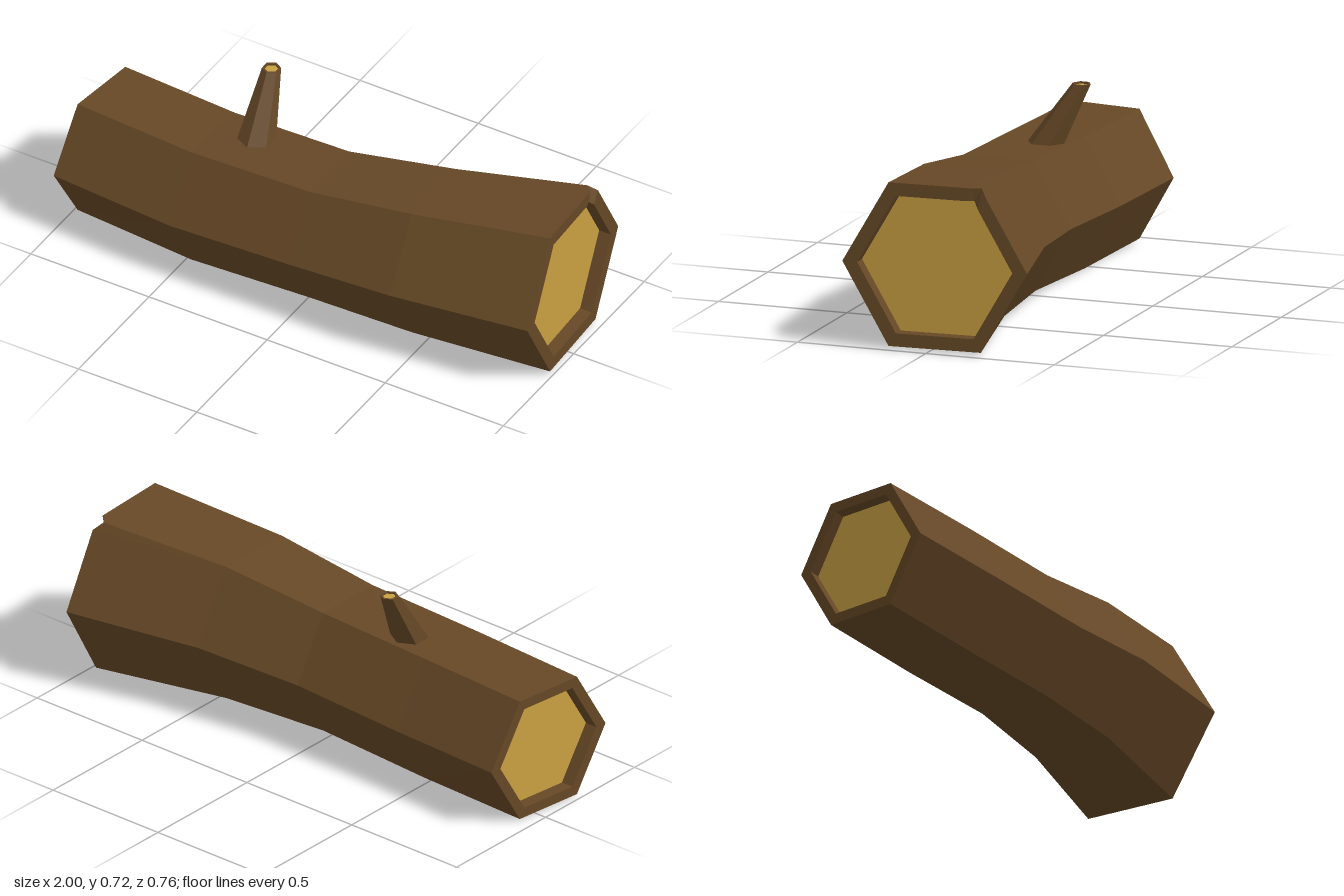
import * as THREE from 'three';

const bark = new THREE.MeshStandardMaterial({ color: 0x664826, name: 'bark brown' });
const wood = new THREE.MeshStandardMaterial({ color: 0xc9a042, name: 'cut wood' });

// Unshared triangles give crisp flat facets
function facets(name, tris, material) {
  const geo = new THREE.BufferGeometry().setFromPoints(tris);
  geo.computeVertexNormals();
  const mesh = new THREE.Mesh(geo, material);
  mesh.name = name;
  return mesh;
}

// Skin a list of closed rings
function loft(name, rings, material) {
  const tris = [];
  for (let i = 0; i < rings.length - 1; i++) {
    const n = rings[i].length;
    for (let j = 0; j < n; j++) {
      const k = (j + 1) % n;
      const a = rings[i][j], b = rings[i + 1][j], c = rings[i + 1][k], d = rings[i][k];
      tris.push(a, b, c, a, c, d);
    }
  }
  return facets(name, tris, material);
}

// Close a ring with a flat face
function cap(name, ring, flip, material) {
  const mid = new THREE.Vector3();
  ring.forEach(p => mid.addScaledVector(p, 1 / ring.length));
  const tris = [];
  ring.forEach((p, j) => {
    const q = ring[(j + 1) % ring.length];
    if (flip) tris.push(mid, q, p);
    else tris.push(mid, p, q);
  });
  return facets(name, tris, material);
}

// Hexagon around the log's length, with two extra points beside the chipped corner
const STEPS = [0, 1, 1.89, 2, 2.11, 3, 4, 5];
const CHIP = 3;
function logRing({ x, y, z, r, tilt }, scale = 1, shift = 0, chip = 0) {
  const corner = j => {
    const a = j * Math.PI / 3, s = scale;
    return new THREE.Vector3(x + shift + tilt * s * Math.cos(a), y + r * s * Math.sin(a), z + r * s * Math.cos(a));
  };
  const ring = STEPS.map(t => {
    const j = Math.floor(t);
    return corner(j).lerp(corner(j + 1), t - j);
  });
  ring[CHIP].x -= chip;
  if (chip) ring[CHIP].add(new THREE.Vector3(0, -0.004, 0.008));
  return ring;
}

function twigRing(x, y, z, r) {
  return Array.from({ length: 6 }, (_, j) => {
    const a = j * Math.PI / 3;
    return new THREE.Vector3(x - r * Math.sin(a), y, z + r * Math.cos(a));
  });
}

export function createModel() {
  const model = new THREE.Group();
  model.name = 'log';

  // Bent trunk, thicker at one end
  const sections = [
    { x: -0.965, y: 0.252, z: 0.057, r: 0.28, tilt: -0.035 },
    { x: -0.475, y: 0.247, z: 0.088, r: 0.284, tilt: -0.015 },
    { x: 0.02, y: 0.267, z: 0.09, r: 0.28, tilt: 0 },
    { x: 0.445, y: 0.298, z: 0.064, r: 0.313, tilt: 0 },
    { x: 0.98, y: 0.32, z: -0.027, r: 0.353, tilt: 0.018 },
  ];
  const thin = sections[0], thick = sections[4];
  const RIM = 0.84, DEPTH = 0.05, NOTCH = 0.03;
  const rightEnd = logRing(thin, RIM, DEPTH);
  const leftEnd = logRing(thick, RIM, -DEPTH);

  // Bark runs over both rims and down into the recessed ends
  model.add(loft('trunkBark', [
    rightEnd,
    logRing(thin, RIM),
    ...sections.map(s => logRing(s, 1, 0, s === thick ? NOTCH : 0)),
    logRing(thick, RIM, 0, NOTCH),
    leftEnd,
  ], bark));
  model.add(cap('rightCutFace', rightEnd, false, wood));
  model.add(cap('leftCutFace', leftEnd, true, wood));

  // Broken twig leaning backwards
  const twig = new THREE.Group();
  twig.name = 'twig';
  const tip = twigRing(-0.335, 0.718, -0.094, 0.027);
  twig.add(loft('twigBark', [
    twigRing(-0.316, 0.47, 0.055, 0.075),
    twigRing(-0.335, 0.725, -0.094, 0.035),
    twigRing(-0.335, 0.725, -0.094, 0.027),
    tip,
  ], bark));
  twig.add(cap('twigCutFace', tip, true, wood));
  model.add(twig);

  return model;
}
